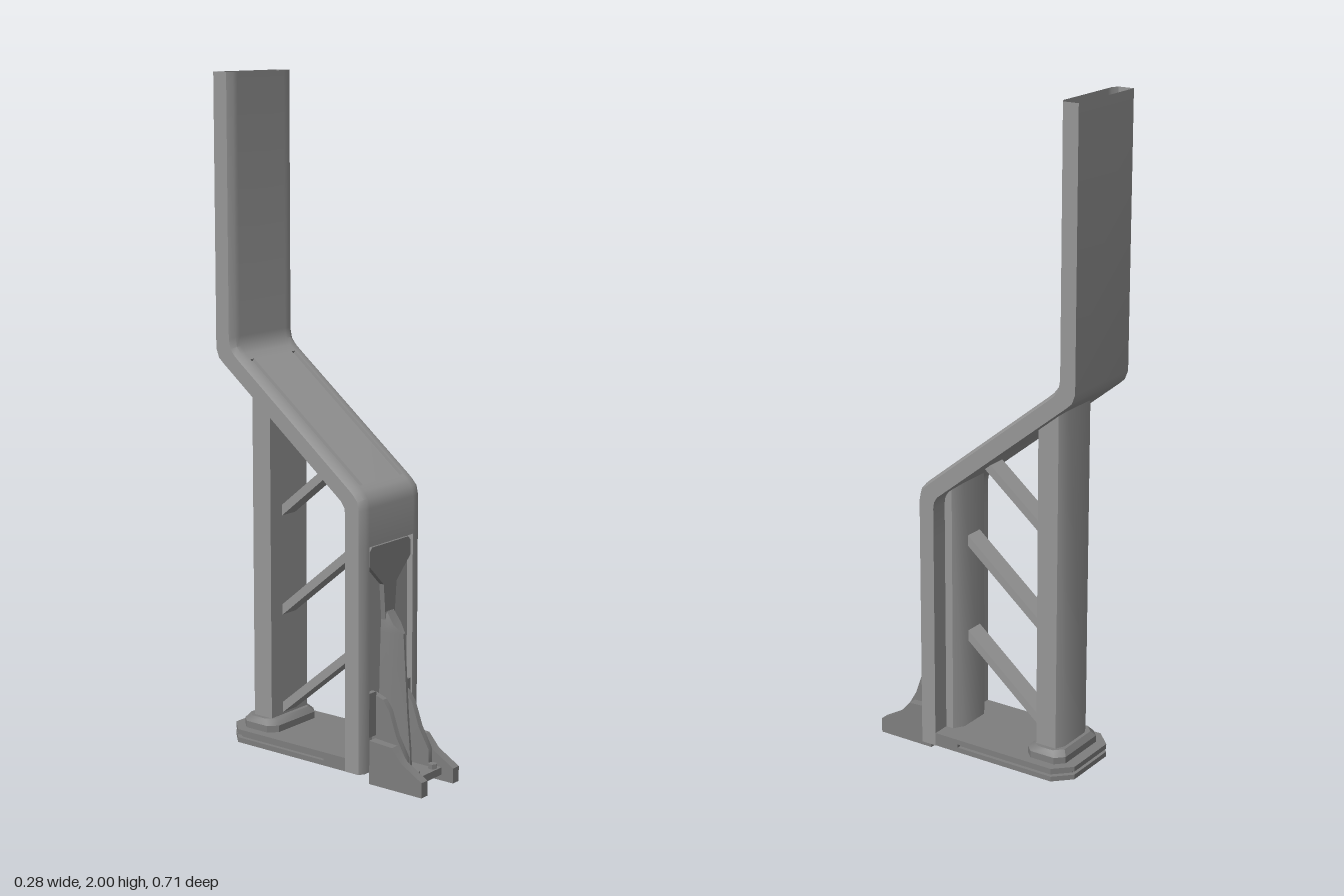
import * as THREE from 'three';
import { toCreasedNormals } from 'three/addons/utils/BufferGeometryUtils.js';

const material = (color) => new THREE.MeshStandardMaterial({ color, side: THREE.DoubleSide });
const frame = material(0x969696);
const dark = material(0x7e7e7e);

export function createModel() {
  const model = new THREE.Group();
  const add = (name, geo, mat) => {
    const m = new THREE.Mesh(toCreasedNormals(geo, 0.6), mat);
    m.name = name;
    model.add(m);
    return m;
  };
  const box = (name, x0, x1, y0, y1, z0, z1) =>
    add(name, new THREE.BoxGeometry(x1 - x0, y1 - y0, z1 - z0), dark)
      .position.set((x0 + x1) / 2, (y0 + y1) / 2, (z0 + z1) / 2);

  // Skin through rings of [x, y, z], listed counter-clockwise seen from above
  const loft = (rings) => {
    const n = rings[0].length, idx = [];
    for (let i = 0; i < rings.length - 1; i++) {
      for (let j = 0; j < n; j++) {
        const k = (j + 1) % n, a = i * n, b = a + n;
        idx.push(a + j, a + k, b + k, a + j, b + k, b + j);
      }
    }
    const g = new THREE.BufferGeometry();
    g.setAttribute('position', new THREE.Float32BufferAttribute(rings.flat(2), 3));
    g.setIndex(idx);
    return g;
  };

  const toShape = (pts) => new THREE.Shape(pts.map(([a, b]) => new THREE.Vector2(a, b)));
  const extrude = (shape, depth) => new THREE.ExtrudeGeometry(shape, { depth, bevelEnabled: false });
  // Floor-plan rectangle with clipped front (cf) and back (cb) corners, as [x, -z]; k widens the clip in x
  const plan = (w, zb, zf, cf, cb, k = 1) => [
    [-w + cf * k, -zf], [w - cf * k, -zf], [w, -zf + cf], [w, -zb - cb],
    [w - cb * k, -zb], [-w + cb * k, -zb], [-w, -zb - cb], [-w, -zf + cf],
  ];
  const upright = (shape, y0, y1) => extrude(shape, y1 - y0).rotateX(-Math.PI / 2).translate(0, y0, 0);
  // Side profile of [z, y] extruded from x0 to x1
  const profile = (pts, x0, x1) => extrude(toShape(pts), x1 - x0).rotateY(-Math.PI / 2).translate(x1, 0, 0);

  // Bent hollow duct: outer z, y, inner z, y, depth of side slots, depth of middle panel
  const stations = [
    [0.178, 0.04, 0.12, 0.04, 0.34, 0.34],
    [0.178, 0.70, 0.12, 0.70, 0.34, 0.34],
    [0.178, 0.70, 0.12, 0.70, 0, 0],
    [0.178, 0.81, 0.12, 0.79, 0, 0],
    [0.172, 0.838, 0.117, 0.81, 0, 0],
    [0.155, 0.857, 0.11, 0.821, 0, 0],
    [0.14, 0.87, 0.106, 0.827, 0, 0],
    [0.14, 0.87, 0.106, 0.827, 0.18, 0],
    [-0.256, 1.187, -0.29, 1.144, 0.18, 0],
    [-0.256, 1.187, -0.29, 1.144, 0, 0],
    [-0.275, 1.203, -0.325, 1.172, 0, 0],
    [-0.29, 1.222, -0.343, 1.188, 0, 0],
    [-0.295, 1.25, -0.353, 1.215, 0, 0],
    [-0.295, 2, -0.353, 2, 0, 0],
  ];
  add('bentDuct', loft(stations.map(([oz, oy, iz, iy, s, p]) =>
    [[-0.138, 0.17], [-0.12, 0], [-0.101, 0], [-0.101, s], [-0.084, s], [-0.084, p],
      [0.084, p], [0.084, s], [0.101, s], [0.101, 0], [0.12, 0], [0.138, 0.17], [0.138, 1], [-0.138, 1]]
      .map(([x, t]) => [x, oy + (iy - oy) * t, oz + (iz - oz) * t]))), frame);

  // Columns whose tops follow the underside of the sloping duct
  const column = (name, w, zb, zf, cb, k, y0) => {
    const g = upright(toShape(plan(w, zb, zf, 0, cb, k)), y0, 0.5);
    const p = g.attributes.position;
    for (let i = 0; i < p.count; i++) {
      if (p.getY(i) > 0.4) p.setY(i, 0.825 + (0.12 - p.getZ(i)) * 0.8);
    }
    add(name, g, frame);
  };
  column('frontColumn', 0.082, 0.075, 0.125, 0.02, 1.6, 0.04);
  column('rearPost', 0.082, -0.28, -0.2, 0.014, 2, 0.08);

  // Diagonal braces between the columns
  for (const [z0, y0, z1, y1] of [[0.09, 0.68, -0.21, 0.43], [0.09, 0.38, -0.21, 0.13], [0.02, 0.92, -0.21, 0.73]]) {
    add('diagonalBrace', profile([[z0, y0 - 0.016], [z0, y0 + 0.016], [z1, y1 + 0.016], [z1, y1 - 0.016]], -0.03, 0.03), frame);
  }

  // Grooved base with a sunken underside
  const rim = toShape(plan(0.137, -0.335, 0.158, 0, 0.05));
  rim.holes.push(new THREE.Path(plan(0.112, -0.31, 0.07, 0.03, 0.04).map(([a, b]) => new THREE.Vector2(a, b))));
  add('baseRim', upright(rim, 0.04, 0.055), dark);
  add('baseGroove', upright(toShape(plan(0.125, -0.322, 0.158, 0, 0.045)), 0.05, 0.066), dark);
  box('baseGrooveFront', -0.137, 0.137, 0.05, 0.07, 0.04, 0.158);
  add('baseTop', upright(toShape(plan(0.137, -0.335, 0.125, 0, 0.05)), 0.065, 0.08), dark);

  // Post foot with a sloping upper edge
  const footRing = (w, zb, zf, y) => plan(w, zb, zf, 0.025, 0.025).map(([x, nz]) => [x, y, -nz]);
  add('postFoot', loft([
    footRing(0.108, -0.302, -0.172, 0.08), footRing(0.108, -0.302, -0.172, 0.1),
    footRing(0.095, -0.29, -0.188, 0.116), footRing(0.07, -0.27, -0.21, 0.116),
  ]), dark);

  // Latch plate set in the recessed front panel
  add('latchPlate', extrude(toShape([
    [-0.095, 0.64], [-0.03, 0.577], [-0.018, 0.44], [0.018, 0.44], [0.03, 0.577], [0.095, 0.64],
    [0.095, 0.684], [0.084, 0.695], [-0.084, 0.695], [-0.095, 0.684],
  ]), 0.018).translate(0, 0, 0.156), dark);

  // Sharp-edged central fin: y, front z, shoulder z, front half-width, back half-width
  add('centralFin', loft([
    [0.035, 0.252, 0.19, 0.004, 0.036], [0.09, 0.25, 0.19, 0.004, 0.034], [0.2, 0.24, 0.19, 0.004, 0.031],
    [0.435, 0.225, 0.188, 0.004, 0.024], [0.46, 0.2, 0.186, 0.018, 0.022],
    [0.495, 0.175, 0.17, 0.016, 0.018], [0.495, 0.152, 0.151, 0.016, 0.018],
  ].map(([y, zf, zs, wf, wb]) => [
    [-wb, y, 0.15], [-wb, y, zs], [-wf, y, zf], [wf, y, zf], [wb, y, zs], [wb, y, 0.15]])), dark);

  // Front foot with side cheeks, gussets, rails and bolts
  box('footPlate', -0.064, 0.064, 0.018, 0.04, 0.17, 0.315);
  box('footLip', -0.045, 0.045, 0.005, 0.02, 0.17, 0.2);
  for (const s of [-1, 1]) {
    const span = (a, b) => (s > 0 ? [a, b] : [-b, -a]);
    add('footCheek', profile([[0.17, 0], [0.355, 0], [0.355, 0.045], [0.285, 0.085], [0.25, 0.125], [0.17, 0.13]],
      ...span(0.062, 0.09)), dark);
    add('footGusset', profile([[0.155, 0.04], [0.28, 0.035], [0.28, 0.09], [0.245, 0.15], [0.22, 0.22], [0.198, 0.25], [0.155, 0.265]],
      ...span(0.045, 0.063)), dark);
    box('panelRail', ...span(0.062, 0.1), 0.14, 0.27, 0.15, 0.173);
    const bolt = add('footBolt', new THREE.CylinderGeometry(0.013, 0.013, 0.016, 6), dark);
    bolt.position.set(s * 0.04, 0.046, 0.298);
  }
  return model;
}
